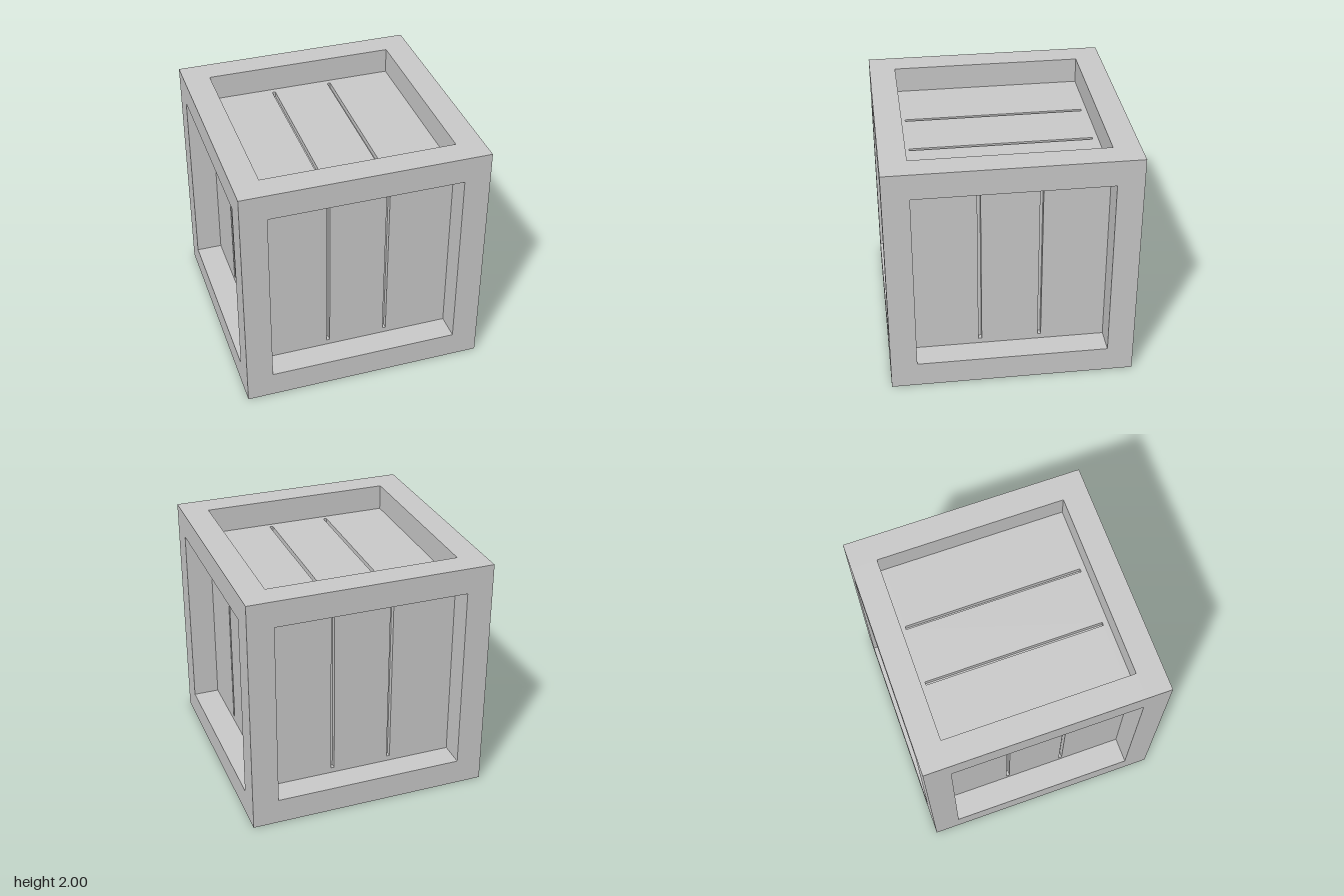
import * as THREE from 'three';

const HALF = 1;        // outer half size of the crate
const PANEL = 0.785;   // half size at the recessed board faces
const CORE = 0.74;     // half size at the bottom of the grooves
const material = new THREE.MeshStandardMaterial({ color: 0xcccccc });

function box(name, size, position) {
  const mesh = new THREE.Mesh(new THREE.BoxGeometry(...size), material);
  mesh.name = name;
  mesh.position.set(...position);
  return mesh;
}

// Twelve square bars along the edges of a cube, joined without overlap
function cubeEdges(name, half, thickness) {
  const group = new THREE.Group();
  group.name = name;
  const t = thickness, c = half - t / 2, inner = 2 * (half - t);
  for (const a of [-c, c]) {
    for (const b of [-c, c]) {
      group.add(box('post', [t, 2 * half, t], [a, 0, b]));
      group.add(box('sideRail', [t, t, inner], [a, b, 0]));
      group.add(box('crossRail', [inner, t, t], [0, a, b]));
    }
  }
  return group;
}

// Three boards facing +z, with a narrow groove between neighbours
function boardPanel(name, rx, ry) {
  const group = new THREE.Group();
  group.name = name;
  const z = (PANEL + CORE) / 2, depth = PANEL - CORE;
  const inner = 0.233, outer = 0.26;
  group.add(box('middleBoard', [2 * inner, 2 * CORE, depth], [0, 0, z]));
  for (const s of [-1, 1]) {
    group.add(box('sideBoard', [CORE - outer, 2 * CORE, depth], [s * (CORE + outer) / 2, 0, z]));
  }
  group.rotation.set(rx, ry, 0);
  return group;
}

export function createModel() {
  const model = new THREE.Group();
  model.name = 'crate';
  const body = new THREE.Group();
  body.name = 'crateBody';
  body.position.y = HALF;
  model.add(body);

  // Heavy outer frame and the thin border around the boards
  body.add(cubeEdges('frame', HALF, HALF - PANEL));
  body.add(cubeEdges('panelBorder', PANEL, PANEL - CORE));

  // Groove floors
  body.add(box('core', [2 * CORE, 2 * CORE, 2 * CORE], [0, 0, 0]));

  // Boards on all six sides
  const q = Math.PI / 2;
  const sides = [
    ['frontPanel', 0, 0], ['backPanel', 0, 2 * q],
    ['leftPanel', 0, q], ['rightPanel', 0, -q],
    ['topPanel', -q, 0], ['bottomPanel', q, 0],
  ];
  for (const side of sides) body.add(boardPanel(...side));
  return model;
}
